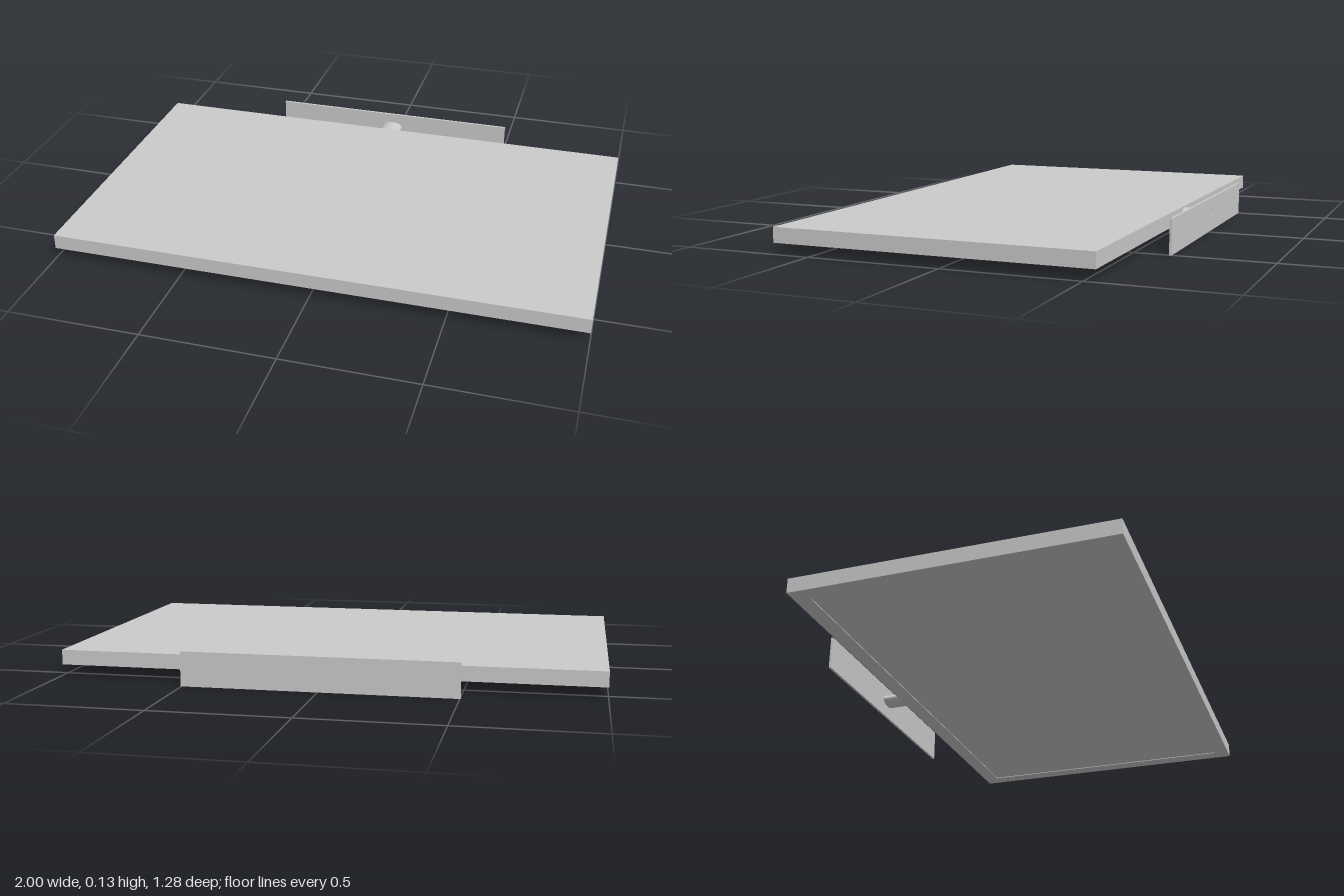
import * as THREE from 'three';

const material = new THREE.MeshStandardMaterial({ color: 0xcccccc });

function add(group, name, geometry, x, y, z) {
  const mesh = new THREE.Mesh(geometry, material);
  mesh.name = name;
  mesh.position.set(x, y, z);
  group.add(mesh);
  return mesh;
}

function rectangle(w, h) {
  return new THREE.Shape([[-1, -1], [1, -1], [1, 1], [-1, 1]]
    .map(([x, y]) => new THREE.Vector2(x * w / 2, y * h / 2)));
}

export function createModel() {
  const group = new THREE.Group();
  group.name = 'wallMountedPanel';

  const bottom = 0.041, top = 0.097, recess = 0.003;
  const back = -0.543, front = 0.638, margin = 0.06;
  const depth = front - back, midZ = (front + back) / 2;

  // Panel body with a raised border around the recessed underside
  const bodyHeight = top - bottom - recess;
  add(group, 'panelBody', new THREE.BoxGeometry(2, bodyHeight, depth), 0, top - bodyHeight / 2, midZ);
  const border = rectangle(2, depth);
  border.holes.push(rectangle(2 - 2 * margin, depth - 2 * margin));
  const frame = add(group, 'panelBorder',
    new THREE.ExtrudeGeometry(border, { depth: recess, bevelEnabled: false }), 0, bottom + recess, midZ);
  frame.rotation.x = Math.PI / 2;

  // Oval mounting stem
  const rx = 0.043, ry = 0.021, stemY = 0.069;
  const stemStart = -0.637, stemEnd = back + 0.002;
  const stem = new THREE.CylinderGeometry(1, 1, stemEnd - stemStart, 48);
  stem.rotateX(Math.PI / 2);
  stem.scale(rx, ry, 1);
  add(group, 'mountingStem', stem, 0, stemY, (stemStart + stemEnd) / 2);

  // Thin back plate with an oval opening that receives the stem
  const plateHeight = 0.128;
  const plate = rectangle(1.006, plateHeight);
  const opening = new THREE.Path();
  opening.absellipse(0, stemY - plateHeight / 2, rx, ry, 0, Math.PI * 2, true);
  plate.holes.push(opening);
  add(group, 'backPlate',
    new THREE.ExtrudeGeometry(plate, { depth: 0.009, bevelEnabled: false, curveSegments: 24 }),
    0, plateHeight / 2, -0.638);

  return group;
}
